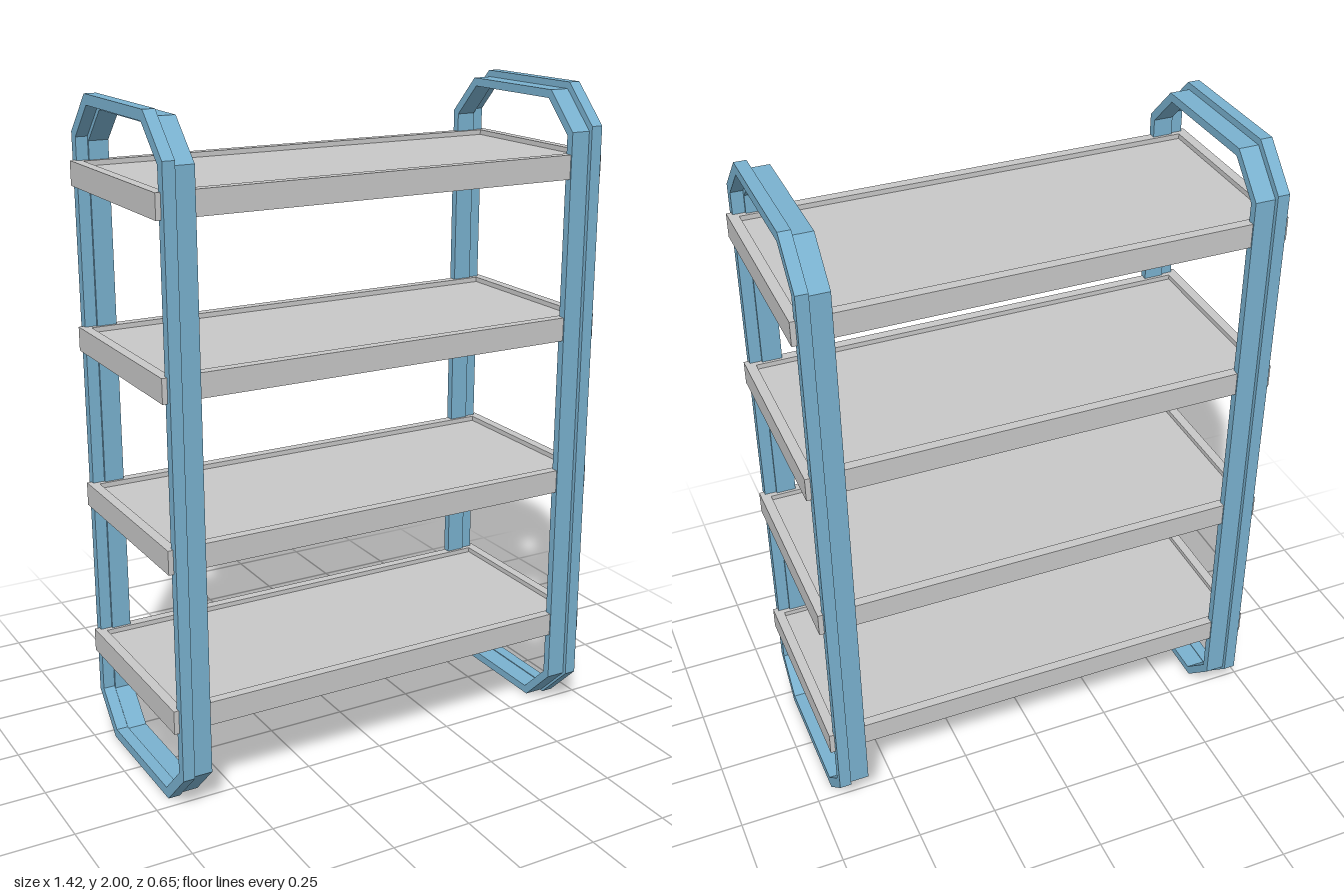
import * as THREE from 'three';

const blue = new THREE.MeshStandardMaterial({ color: 0x7ab2d0 });
blue.name = 'blue frame paint';
const grey = new THREE.MeshStandardMaterial({ color: 0xc8c8c8 });
grey.name = 'light grey shelf';

// Rectangle with cut corners: half depth w, from y0 to y1, corner cut c
function octagon(w, y0, y1, c) {
  return [
    [w - c, y0], [w, y0 + c], [w, y1 - c], [w - c, y1],
    [c - w, y1], [-w, y1 - c], [-w, y0 + c], [c - w, y0],
  ].map(([x, y]) => new THREE.Vector2(x, y));
}

// Hoop of even thickness t, centred on x = 0 with the given width
function hoop(w, y0, y1, c, t, width) {
  const shape = new THREE.Shape(octagon(w, y0, y1, c));
  const inner = octagon(w - t, y0 + t, y1 - t, c - t * (2 - Math.SQRT2));
  shape.holes.push(new THREE.Path(inner.reverse()));
  const geo = new THREE.ExtrudeGeometry(shape, { depth: width, bevelEnabled: false });
  return geo.translate(0, 0, -width / 2).rotateY(Math.PI / 2);
}

function add(parent, name, geo, mat, x = 0, y = 0, z = 0) {
  const mesh = new THREE.Mesh(geo, mat);
  mesh.name = name;
  mesh.position.set(x, y, z);
  parent.add(mesh);
}

// Tray shelf: a raised rim around a sunken panel
function createShelf(y) {
  const W = 0.71, D = 0.308, H = 0.072, rim = 0.03, sink = 0.015;
  const shelf = new THREE.Group();
  shelf.name = 'shelf';
  shelf.position.y = y;
  const rect = (w, d) => [[-w, -d], [w, -d], [w, d], [-w, d]].map(([a, b]) => new THREE.Vector2(a, b));
  const outline = new THREE.Shape(rect(W, D));
  outline.holes.push(new THREE.Path(rect(W - rim, D - rim).reverse()));
  const rimGeo = new THREE.ExtrudeGeometry(outline, { depth: H, bevelEnabled: false });
  add(shelf, 'shelfRim', rimGeo.rotateX(-Math.PI / 2), grey);
  const panel = new THREE.BoxGeometry(2 * (W - rim), H - sink, 2 * (D - rim));
  add(shelf, 'shelfPanel', panel, grey, 0, (H - sink) / 2, 0);
  return shelf;
}

export function createModel() {
  const model = new THREE.Group();
  model.name = 'shelfUnit';

  // End frames: a larger outer hoop beside a slightly smaller inner hoop
  const outerHoop = hoop(0.325, 0, 2, 0.117, 0.031, 0.036);
  const innerHoop = hoop(0.312, 0.003, 1.98, 0.112, 0.025, 0.06);
  for (const [side, name] of [[1, 'leftFrame'], [-1, 'rightFrame']]) {
    const frame = new THREE.Group();
    frame.name = name;
    add(frame, 'outerHoop', outerHoop, blue, side * 0.677);
    add(frame, 'innerHoop', innerHoop, blue, side * 0.629);
    model.add(frame);
  }

  // Four evenly spaced shelves
  for (let i = 0; i < 4; i++) model.add(createShelf(0.264 + i * 0.489));
  return model;
}
